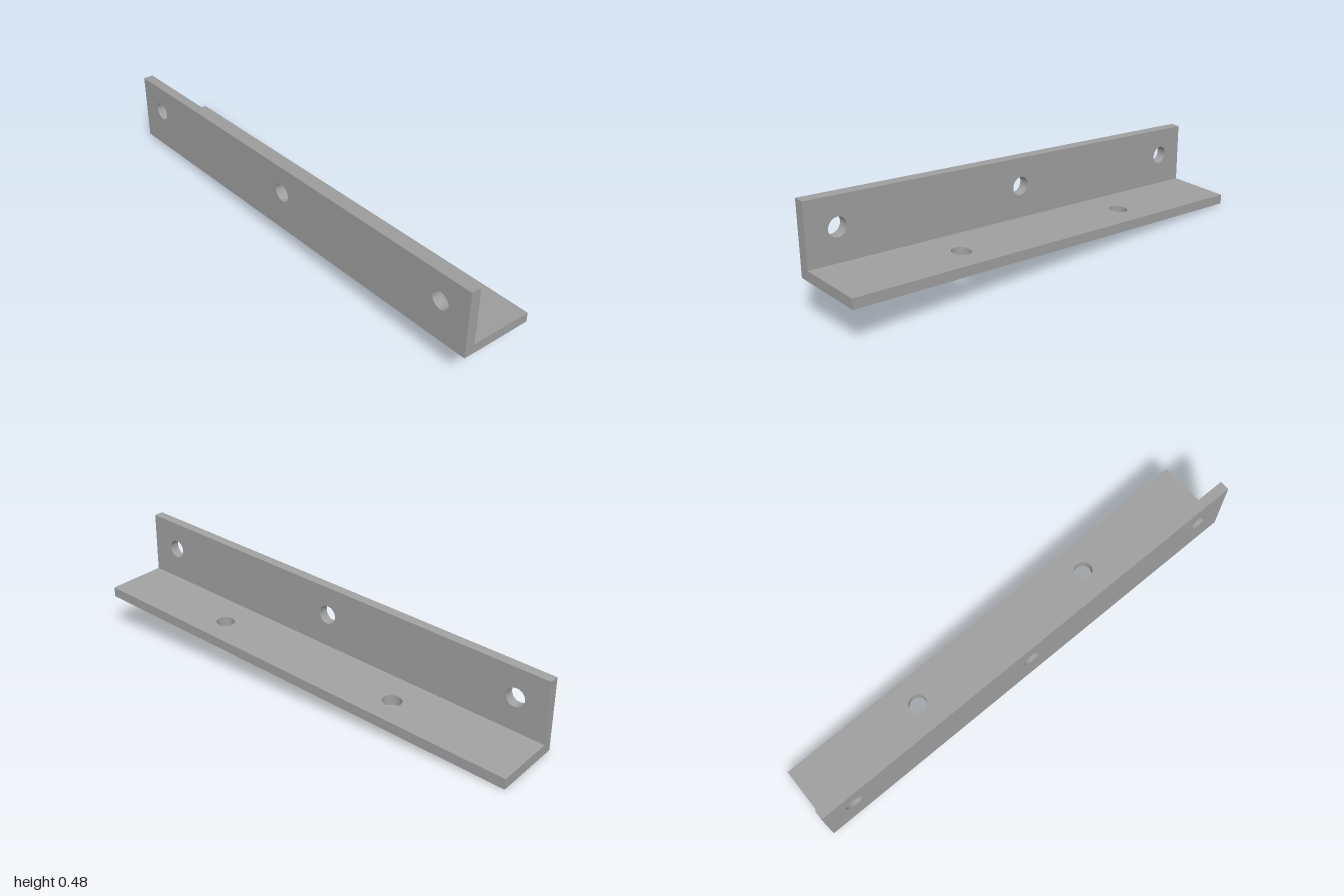
import * as THREE from 'three';

const LENGTH = 2.075, WIDTH = 0.317, HEIGHT = 0.308, THICK = 0.0435;
const SLOPE = 0.162 / LENGTH; // rise along the length
const HOLE_RADIUS = 0.04;

// Rectangle outline with round holes; skew cancels the slope so holes stay round
function plateShape(x0, y0, x1, y1, holes, skew = 0) {
  const v = (x, y) => new THREE.Vector2(x, y);
  const shape = new THREE.Shape([v(x0, y0), v(x1, y0), v(x1, y1), v(x0, y1)]);
  for (const [cx, cy] of holes) {
    const ring = [];
    for (let i = 0; i < 40; i++) {
      const a = -i / 40 * Math.PI * 2;
      const dx = HOLE_RADIUS * Math.cos(a), dy = HOLE_RADIUS * Math.sin(a);
      ring.push(v(cx + dx, cy + dy - skew * dx));
    }
    shape.holes.push(new THREE.Path(ring));
  }
  return shape;
}

export function createModel() {
  const group = new THREE.Group();
  group.name = 'angleBracket';
  const steel = new THREE.MeshStandardMaterial({ color: 0xa0a0a0 });
  steel.name = 'grey steel';

  // Local axes: x across the flange, y up, z along the bar
  const placement = new THREE.Matrix4().makeBasis(
    new THREE.Vector3(0.285, -0.0145, -0.138).divideScalar(WIDTH),
    new THREE.Vector3(0, 1, 0),
    new THREE.Vector3(0.915, 0.162, 1.862).divideScalar(LENGTH)
  ).setPosition(-0.6, 0.0145, -0.862);

  const addPlate = (name, geometry) => {
    geometry.applyMatrix4(placement);
    const mesh = new THREE.Mesh(geometry, steel);
    mesh.name = name;
    group.add(mesh);
  };
  const extrude = (shape) => new THREE.ExtrudeGeometry(shape, { depth: THICK, bevelEnabled: false });

  // Upright flange with three holes
  const uprightHoles = [0.066, 0.5, 0.934].map((t) => [t * LENGTH, 0.184]);
  addPlate('uprightFlange',
    extrude(plateShape(0, 0, LENGTH, HEIGHT, uprightHoles, SLOPE))
      .rotateY(-Math.PI / 2).translate(THICK, 0, 0));

  // Bottom flange with two holes
  const bottomHoles = [0.283, 0.717].map((t) => [0.193, t * LENGTH]);
  addPlate('bottomFlange',
    extrude(plateShape(THICK, 0, WIDTH, LENGTH, bottomHoles))
      .rotateX(Math.PI / 2).translate(0, THICK, 0));

  return group;
}
